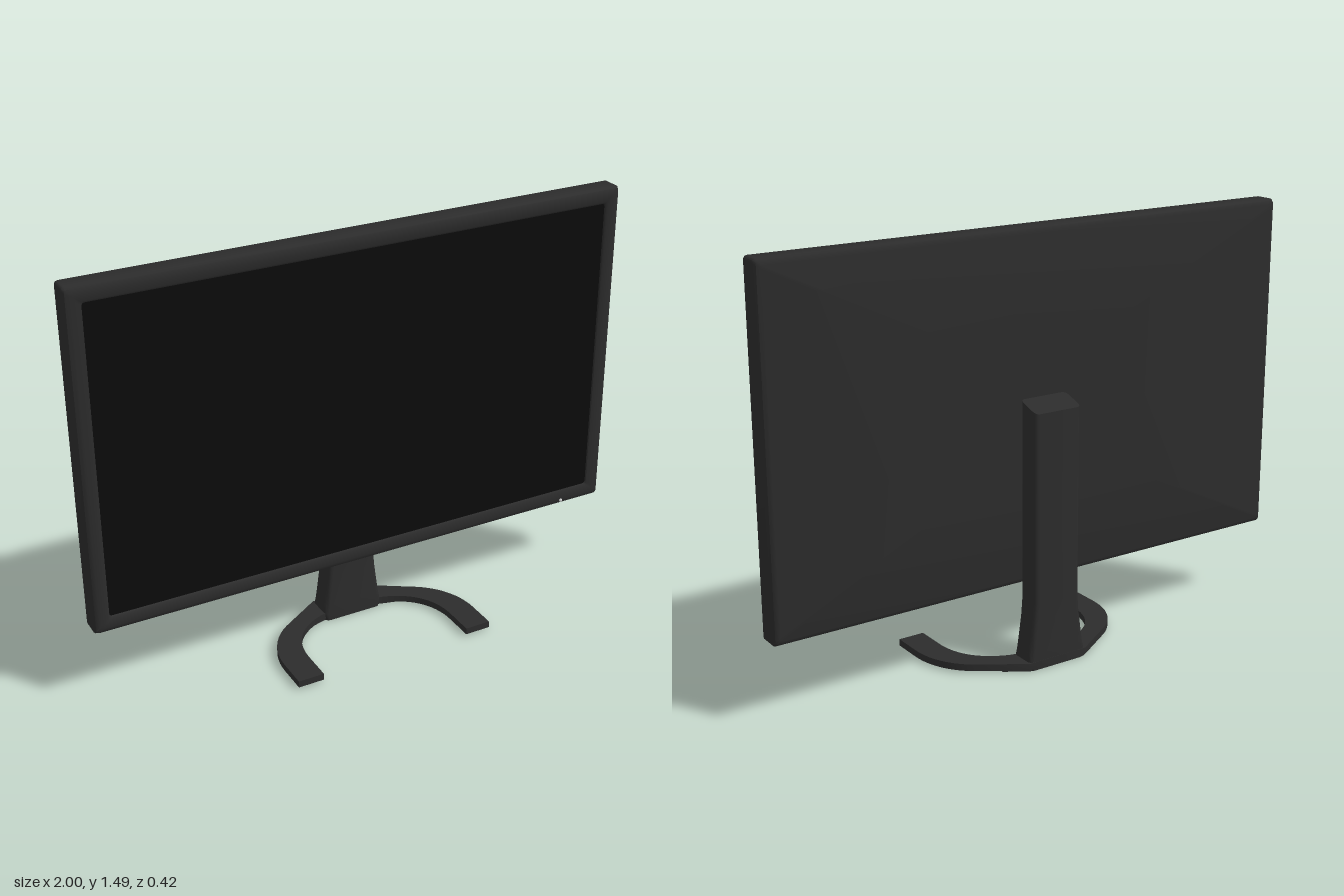
import * as THREE from 'three';
import { toCreasedNormals } from 'three/addons/utils/BufferGeometryUtils.js';

const bodyMat = new THREE.MeshStandardMaterial({ color: 0x2c2c2c });
const screenMat = new THREE.MeshStandardMaterial({ color: 0x0b0b0b });
const lampMat = new THREE.MeshStandardMaterial({ color: 0xcccccc });

// Rounded rectangle, counter-clockwise; w is the height of the loop, tilt slopes it along v
function loop({ hw, hh, w, r, cv = 0, tilt = 0 }, steps = 3) {
  const pts = [];
  [[1, 1], [-1, 1], [-1, -1], [1, -1]].forEach(([sx, sy], q) => {
    for (let i = 0; i <= steps; i++) {
      const a = (q + i / steps) * Math.PI / 2;
      const u = sx * (hw - r) + r * Math.cos(a);
      const v = sy * (hh - r) + r * Math.sin(a);
      pts.push([u, v + cv, w + tilt * v]);
    }
  });
  return pts;
}

// Skin over loops listed from high w to low w
function loft(sections, capStart, capEnd, crease) {
  const loops = sections.map((s) => loop(s));
  const pos = [];
  const tri = (a, b, c) => pos.push(...a, ...b, ...c);
  const n = loops[0].length;
  for (let i = 0; i < loops.length - 1; i++) {
    for (let k = 0; k < n; k++) {
      const m = (k + 1) % n, A = loops[i], B = loops[i + 1];
      tri(A[k], B[k], B[m]);
      tri(A[k], B[m], A[m]);
    }
  }
  const first = loops[0], last = loops[loops.length - 1];
  for (let k = 1; k < n - 1; k++) {
    if (capStart) tri(first[0], first[k], first[k + 1]);
    if (capEnd) tri(last[0], last[k + 1], last[k]);
  }
  const g = new THREE.BufferGeometry();
  g.setAttribute('position', new THREE.Float32BufferAttribute(pos, 3));
  return toCreasedNormals(g, crease);
}

// Horizontal slab from an outline in x and z
function slab(shape, top, thickness) {
  const g = new THREE.ExtrudeGeometry(shape, { depth: thickness, bevelEnabled: false, curveSegments: 10 });
  g.rotateX(Math.PI / 2).translate(0, top, 0);
  return toCreasedNormals(g, 0.6);
}

export function createModel() {
  const group = new THREE.Group();
  const add = (name, geometry, material = bodyMat) => {
    const mesh = new THREE.Mesh(geometry, material);
    mesh.name = name;
    group.add(mesh);
    return mesh;
  };
  const midY = 0.885;

  // Housing: bezel lip, softened rim and a back that dips to a central rectangle
  const housing = [
    [0.943, 0.548, -0.032, 0.01],
    [0.945, 0.55, -0.022, 0.01],
    [0.952, 0.557, -0.017, 0.01],
    [0.98, 0.585, -0.017, 0.01],
    [0.994, 0.599, -0.022, 0.012],
    [1, 0.605, -0.034, 0.012],
    [1, 0.605, -0.094, 0.012],
    [0.994, 0.599, -0.106, 0.012],
    [0.98, 0.585, -0.112, 0.01],
    [0.25, 0.225, -0.098, 0.001],
  ].map(([hw, hh, w, r]) => ({ hw, hh, w, r }));
  add('housing', loft(housing, false, true, 0.7)).position.y = midY;

  // Screen
  add('screen', new THREE.BoxGeometry(1.9, 1.11, 0.01), screenMat).position.set(0, midY, -0.033);

  // Power lamp
  add('powerLamp', new THREE.SphereGeometry(0.007, 12, 8), lampMat).position.set(0.83, 0.297, -0.018);

  // Mount between housing and neck
  add('mount', new THREE.BoxGeometry(0.12, 0.06, 0.04)).position.set(0, 0.89, -0.11);

  // Neck: slanted top, flaring towards the foot
  const neck = [
    { hw: 0.09, hh: 0.045, w: 0.915, r: 0.016, cv: 0.16, tilt: -0.33 },
    ...[
      [0.09, 0.045, 0.24, 0.16],
      [0.094, 0.0455, 0.18, 0.16],
      [0.101, 0.047, 0.12, 0.16],
      [0.109, 0.048, 0.06, 0.16],
      [0.115, 0.049, 0.028, 0.16],
      [0.11, 0.049, 0, 0.16],
    ].map(([hw, hh, w, cv]) => ({ hw, hh, w, r: 0.016, cv })),
  ];
  add('neck', loft(neck, true, true, 0.7).rotateX(-Math.PI / 2));

  // Base: two curved arms, one outline mirrored
  for (const s of [1, -1]) {
    const arm = new THREE.Shape();
    arm.moveTo(0, -0.21);
    arm.lineTo(s * 0.115, -0.21);
    arm.lineTo(s * 0.27, -0.112);
    arm.bezierCurveTo(s * 0.345, -0.06, s * 0.38, 0.02, s * 0.38, 0.1);
    arm.lineTo(s * 0.38, 0.21);
    arm.lineTo(s * 0.285, 0.21);
    arm.lineTo(s * 0.285, 0.1);
    arm.bezierCurveTo(s * 0.285, 0.03, s * 0.26, -0.03, s * 0.21, -0.07);
    arm.quadraticCurveTo(s * 0.16, -0.11, s * 0.1, -0.12);
    arm.lineTo(0, -0.12);
    add(s > 0 ? 'leftArm' : 'rightArm', slab(arm, 0.031, 0.024));
  }

  // Pad under the rear of the base
  const pad = new THREE.Shape([
    [-0.19, -0.1], [-0.19, -0.155], [-0.11, -0.205], [0.11, -0.205], [0.19, -0.155], [0.19, -0.1], [0.1, -0.125], [-0.1, -0.125],
  ].map(([x, z]) => new THREE.Vector2(x, z)));
  add('basePad', slab(pad, 0.01, 0.01));

  return group;
}
